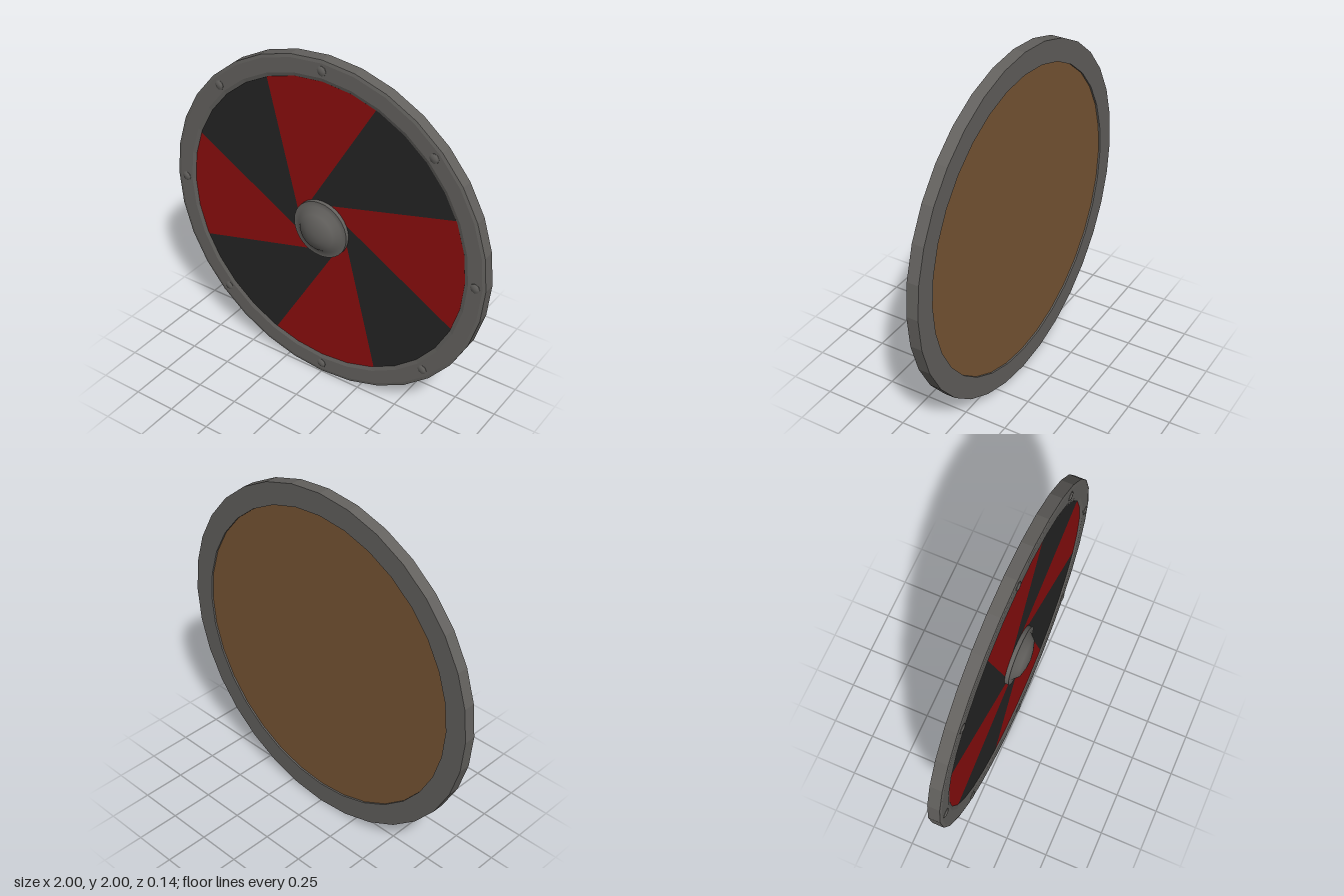
import * as THREE from 'three';
import { toCreasedNormals } from 'three/addons/utils/BufferGeometryUtils.js';

const SIDES = 32;
const RIVETS = 8;

const paint = (name, color) => {
  const m = new THREE.MeshStandardMaterial({ color });
  m.name = name;
  return m;
};

// Turned part whose axis points to the front; profile pairs are [radius, depth]
const turned = (profile, sides, crease) => {
  const g = new THREE.LatheGeometry(profile.map(([r, z]) => new THREE.Vector2(r, z)), sides);
  g.rotateX(Math.PI / 2);
  return toCreasedNormals(g, crease);
};

export function createModel() {
  const iron = paint('iron grey', 0x64625f);
  const red = paint('red paint', 0x8c0e0e);
  const black = paint('black paint', 0x252525);
  const wood = paint('brown wood', 0x7a5735);

  const shield = new THREE.Group();
  shield.name = 'roundShield';
  const body = new THREE.Group();
  body.name = 'shieldBody';
  body.position.y = 1;
  shield.add(body);

  const add = (name, geometry, material) => {
    const mesh = new THREE.Mesh(geometry, material);
    mesh.name = name;
    body.add(mesh);
    return mesh;
  };

  // Wooden board, slightly recessed inside the rim
  const board = new THREE.CylinderGeometry(0.885, 0.885, 0.05, SIDES);
  board.rotateX(Math.PI / 2);
  add('woodenBoard', board, wood).position.z = -0.037;

  // Faceted iron rim with a narrow inner slope
  add('rim', turned([
    [0.875, -0.072], [1, -0.072], [1, -0.004], [0.982, 0], [0.9, 0],
    [0.88, -0.006], [0.875, -0.012], [0.875, -0.072],
  ], SIDES, 0.05), iron);

  // Eight swirling painted sectors, alternately red and black
  const step = Math.PI / 4;
  const first = THREE.MathUtils.degToRad(68.5);
  const twist = THREE.MathUtils.degToRad(49);
  const polar = (r, a) => new THREE.Vector2(r * Math.cos(a), r * Math.sin(a));
  for (let i = 0; i < 8; i++) {
    const a = first + i * step;
    const points = [];
    for (let k = 0; k <= 8; k++) points.push(polar(0.883, a + (k / 8) * step));
    points.push(polar(0.165, a + step + twist), polar(0.165, a + twist));
    const sector = new THREE.ShapeGeometry(new THREE.Shape(points));
    add('paintedSector' + (i + 1), sector, i % 2 ? black : red).position.z = -0.008;
  }

  // Central boss: flat flange and low dome
  add('boss', turned([
    [0.17, -0.012], [0.17, 0.015], [0.14, 0.015], [0.107, 0.049],
    [0.055, 0.064], [0, 0.072],
  ], SIDES, 0.85), iron);

  // Domed rivets around the rim
  const rivet = turned([[0.028, -0.004], [0.028, 0.002], [0.019, 0.007], [0, 0.009]], 8, 0.9);
  for (let i = 0; i < RIVETS; i++) {
    const p = polar(0.94, (i / RIVETS) * Math.PI * 2);
    add('rivet' + (i + 1), rivet, iron).position.set(p.x, p.y, 0);
  }

  return shield;
}
